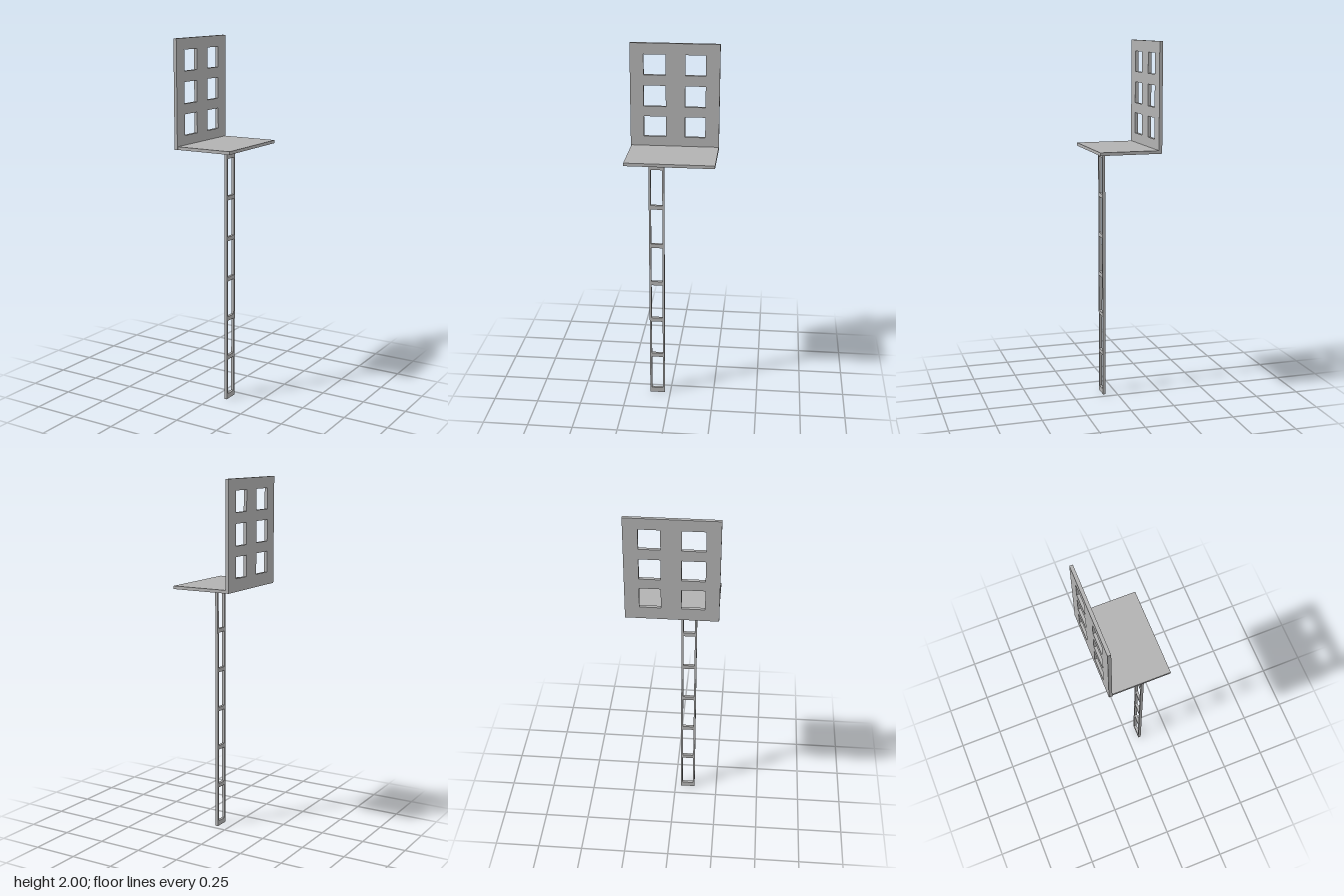
import * as THREE from 'three';

// Rectangle outline from (z0, y0) to (z1, y1)
function rect(Type, z0, y0, z1, y1) {
  const p = new Type();
  p.moveTo(z0, y0);
  p.lineTo(z1, y0);
  p.lineTo(z1, y1);
  p.lineTo(z0, y1);
  p.closePath();
  return p;
}

// Upright plate facing x, between x0 and x1, with rectangular openings
function plate(name, material, x0, x1, outline, openings) {
  const shape = rect(THREE.Shape, ...outline);
  for (const o of openings) shape.holes.push(rect(THREE.Path, ...o));
  const geometry = new THREE.ExtrudeGeometry(shape, { depth: x1 - x0, bevelEnabled: false });
  geometry.rotateY(-Math.PI / 2);
  geometry.translate(x1, 0, 0);
  const mesh = new THREE.Mesh(geometry, material);
  mesh.name = name;
  return mesh;
}

export function createModel() {
  const group = new THREE.Group();
  group.name = 'ladderSeat';
  const grey = new THREE.MeshStandardMaterial({ color: 0xb2b2b2 });
  grey.name = 'grey';

  // Back panel with two columns of three windows
  const windows = [];
  for (const [y0, y1] of [[1.483, 1.597], [1.653, 1.769], [1.827, 1.939]]) {
    windows.push([0.048, y0, 0.169, y1], [-0.169, y0, -0.058, y1]);
  }
  group.add(plate('backPanel', grey, -0.17, -0.152, [-0.245, 1.414, 0.243, 2], windows));

  // Flat platform
  const platform = new THREE.Mesh(new THREE.BoxGeometry(0.322, 0.017, 0.484), grey);
  platform.name = 'platform';
  platform.position.set(0.009, 1.4225, -0.003);
  group.add(platform);

  // Ladder with evenly spaced openings, ending just below the platform
  const gaps = [];
  for (let i = 0; i < 6; i++) {
    const y = 0.029 + i * 0.2268;
    gaps.push([0.043, y, 0.106, y + 0.204]);
  }
  group.add(plate('ladder', grey, 0.064, 0.08, [0.032, 0, 0.117, 1.398], gaps));

  return group;
}
